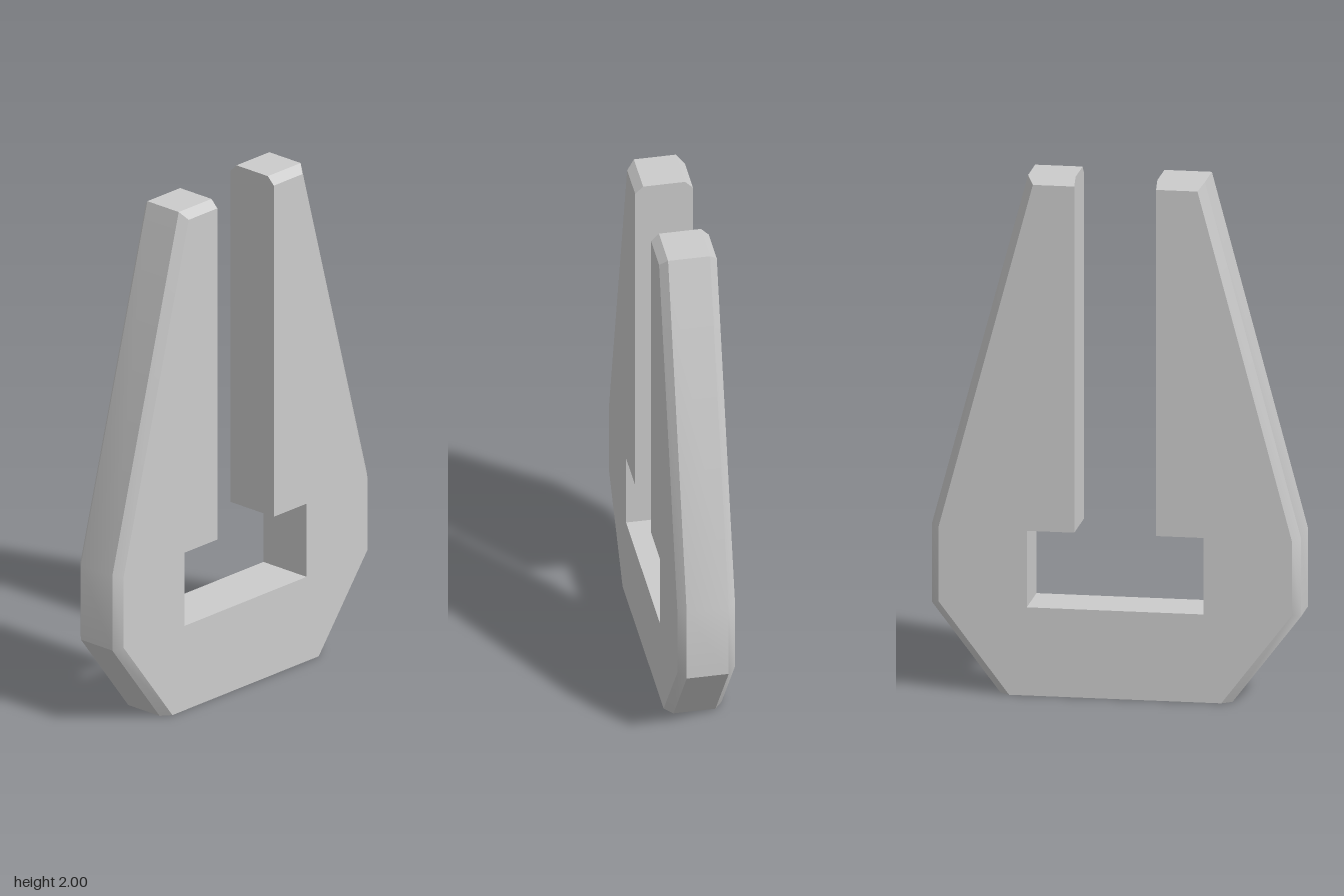
import * as THREE from 'three';
import { toCreasedNormals } from 'three/addons/utils/BufferGeometryUtils.js';

// Complete a right half outline (bottom to slot) with its mirror image, counter-clockwise
const mirrored = (half) =>
  [...half, ...half.slice().reverse().map(([x, y]) => [-x, y])].map(([x, y]) => new THREE.Vector2(x, y));

// Skin matching outlines stacked along z and cap both ends
function skinOutlines(layers) {
  const pos = [];
  const put = (layer, ...ids) => ids.forEach((i) => pos.push(layer.pts[i].x, layer.pts[i].y, layer.z));
  for (let k = 0; k < layers.length - 1; k++) {
    const lo = layers[k], hi = layers[k + 1], n = lo.pts.length;
    for (let i = 0; i < n; i++) {
      const j = (i + 1) % n;
      put(lo, i, j); put(hi, j);
      put(lo, i); put(hi, j, i);
    }
  }
  const back = layers[0], front = layers[layers.length - 1];
  for (const [a, b, c] of THREE.ShapeUtils.triangulateShape(front.pts, [])) {
    put(front, a, b, c);
    put(back, c, b, a);
  }
  const geo = new THREE.BufferGeometry();
  geo.setAttribute('position', new THREE.Float32BufferAttribute(pos, 3));
  return toCreasedNormals(geo, 0.5);
}

export function createModel() {
  const group = new THREE.Group();
  group.name = 'slottedPlate';

  // Slot and window edges stay square; the outer sides and tips are chamfered
  const slot = [[0.155, 0.635], [0.335, 0.635], [0.335, 0.34]];
  const outer = mirrored([[0.44, 0], [0.7, 0.34], [0.7, 0.64], [0.335, 2], [0.155, 2], ...slot]);
  const face = mirrored([[0.402, 0], [0.67, 0.35], [0.67, 0.636], [0.312, 1.97], [0.155, 1.97], ...slot]);

  const plate = new THREE.Mesh(
    skinOutlines([
      { pts: face, z: -0.11 },
      { pts: outer, z: -0.08 },
      { pts: outer, z: 0.08 },
      { pts: face, z: 0.11 },
    ]),
    new THREE.MeshStandardMaterial({ color: 0xcccccc })
  );
  plate.name = 'forkedPlate';
  group.add(plate);
  return group;
}
